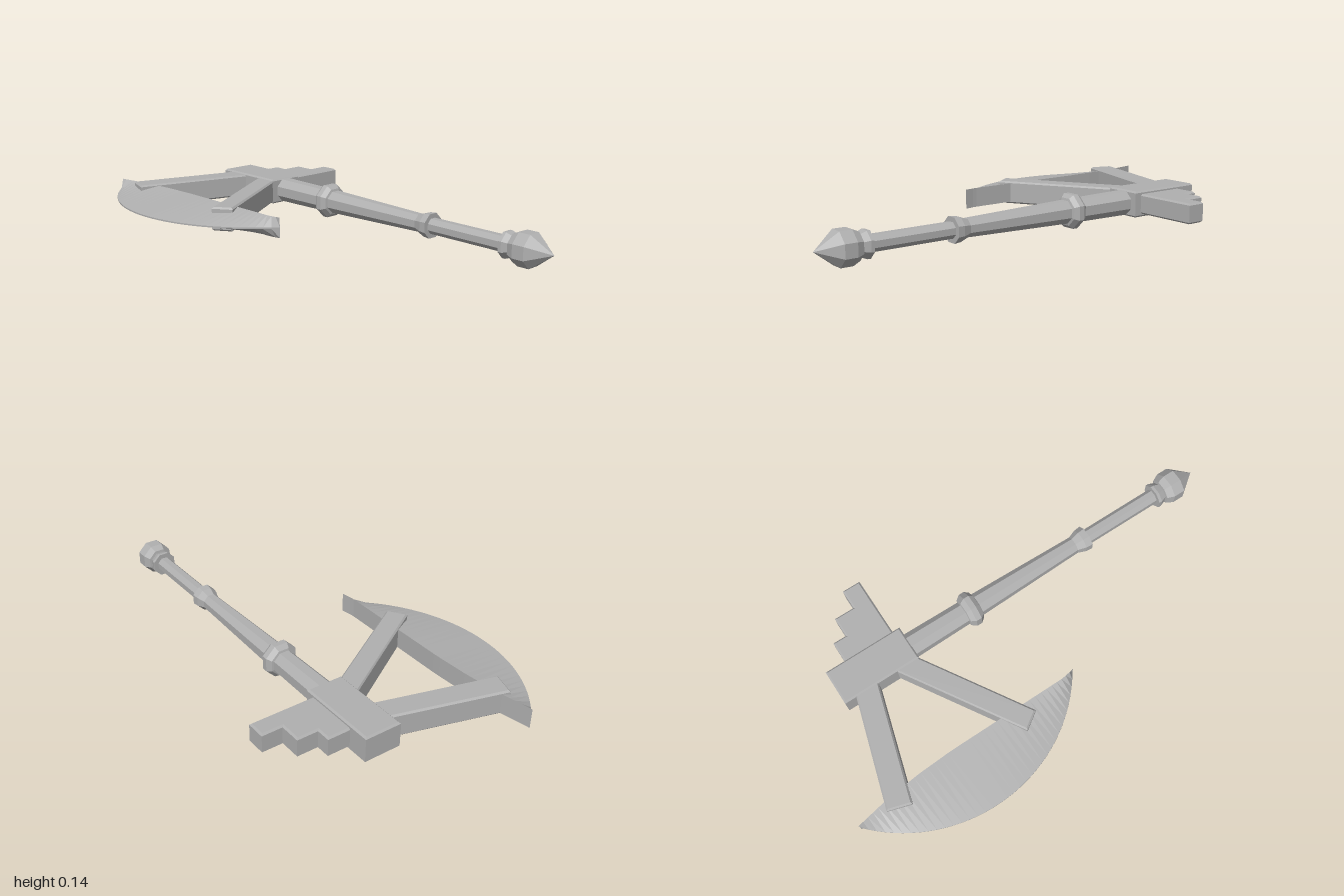
import * as THREE from 'three';

const MID = 0.0725; // height of the axe's centre plane
const GRIP_X = 0.195;

export function createModel() {
  const group = new THREE.Group();
  group.name = 'battleAxe';
  const steel = new THREE.MeshStandardMaterial({ color: 0xb0b0b0 });
  steel.name = 'grey steel';
  steel.flatShading = true;

  const add = (name, geometry) => {
    const mesh = new THREE.Mesh(geometry, steel);
    mesh.name = name;
    group.add(mesh);
    return mesh;
  };

  // Bevelled slab: an outline in [x, z], thickened around the centre plane
  const slab = (name, outline, thickness, bevel = 0.007) => {
    const shape = new THREE.Shape(outline.map(([x, z]) => new THREE.Vector2(x, -z)));
    const geo = new THREE.ExtrudeGeometry(shape, {
      depth: thickness - 2 * bevel, bevelEnabled: true, bevelSegments: 1,
      bevelSize: bevel, bevelThickness: bevel, bevelOffset: -bevel,
    });
    geo.rotateX(-Math.PI / 2);
    geo.translate(0, MID - thickness / 2 + bevel, 0);
    return add(name, geo);
  };

  // Eight-sided turned part along z: profile of [flat radius, z], z rising
  const turned = (name, profile) => {
    const points = profile.map(([r, z]) => new THREE.Vector2(r / Math.cos(Math.PI / 8), z));
    const geo = new THREE.LatheGeometry(points, 8, Math.PI / 8);
    geo.rotateX(Math.PI / 2);
    geo.translate(GRIP_X, MID, 0);
    return add(name, geo);
  };

  // Handle
  turned('upperShaft', [[0, -0.47], [0.051, -0.47], [0.047, -0.14], [0.035, 0.37],
    [0.047, 0.405], [0.05, 0.435], [0, 0.435]]);
  turned('collarRing', [[0.046, -0.19], [0.056, -0.187], [0.07, -0.167], [0.07, -0.143],
    [0.056, -0.125], [0.046, -0.122]]);
  turned('lowerGrip', [[0, 0.42], [0.031, 0.42], [0.031, 0.8], [0, 0.8]]);
  turned('pommel', [[0, 0.79], [0.051, 0.79], [0.051, 0.803], [0.041, 0.83], [0.052, 0.832],
    [0.065, 0.862], [0.065, 0.912], [0, 1]]);

  // Head block, rear steps and the two arms
  slab('headBlock', [[0.115, -0.45], [0.272, -0.45], [0.272, -0.798], [0.115, -0.798]], 0.112);
  slab('rearSteps', [[0.25, -0.482], [0.545, -0.482], [0.545, -0.562], [0.457, -0.562],
    [0.457, -0.651], [0.368, -0.651], [0.368, -0.71], [0.25, -0.71]], 0.085);
  slab('backArm', [[-0.373, -0.783], [0.14, -0.636], [0.14, -0.74], [-0.342, -0.882]], 0.1);
  slab('frontArm', [[-0.33, -0.18], [0.14, -0.465], [0.14, -0.57], [-0.38, -0.254]], 0.1);

  // Crescent blade: thick inner edge narrowing to a thin curved outer edge
  const inner = [[-0.33, -1], [-0.302, -0.85], [-0.287, -0.7], [-0.28, -0.55], [-0.28, -0.01], [-0.27, 0.042]];
  const innerX = (z) => {
    let i = 0;
    while (i < inner.length - 2 && inner[i + 1][1] < z) i++;
    const [[x0, z0], [x1, z1]] = [inner[i], inner[i + 1]];
    return x0 + ((x1 - x0) * (z - z0)) / (z1 - z0);
  };
  const steps = 36, radius = 0.666, sweep = 0.9, tilt = 0.0576, thick = 0.042, thin = 0.003;
  const positions = [], index = [];
  for (let i = 0; i <= steps; i++) {
    const a = sweep * ((2 * i) / steps - 1);
    const along = radius * Math.sin(a);
    const out = radius * (Math.cos(a) - Math.cos(sweep));
    const x = -0.3 + along * Math.sin(tilt) - out * Math.cos(tilt);
    const z = -0.479 + along * Math.cos(tilt) + out * Math.sin(tilt);
    const back = Math.max(x, innerX(z));
    positions.push(back, MID + thick, z, x, MID + thin, z, x, MID - thin, z, back, MID - thick, z);
    if (i === steps) continue;
    for (let k = 0; k < 4; k++) {
      const p = i * 4 + k, q = i * 4 + ((k + 1) % 4);
      index.push(p, q, q + 4, p, q + 4, p + 4);
    }
  }
  const bladeGeo = new THREE.BufferGeometry();
  bladeGeo.setAttribute('position', new THREE.Float32BufferAttribute(positions, 3));
  bladeGeo.setIndex(index);
  bladeGeo.computeVertexNormals();
  add('blade', bladeGeo);

  return group;
}
